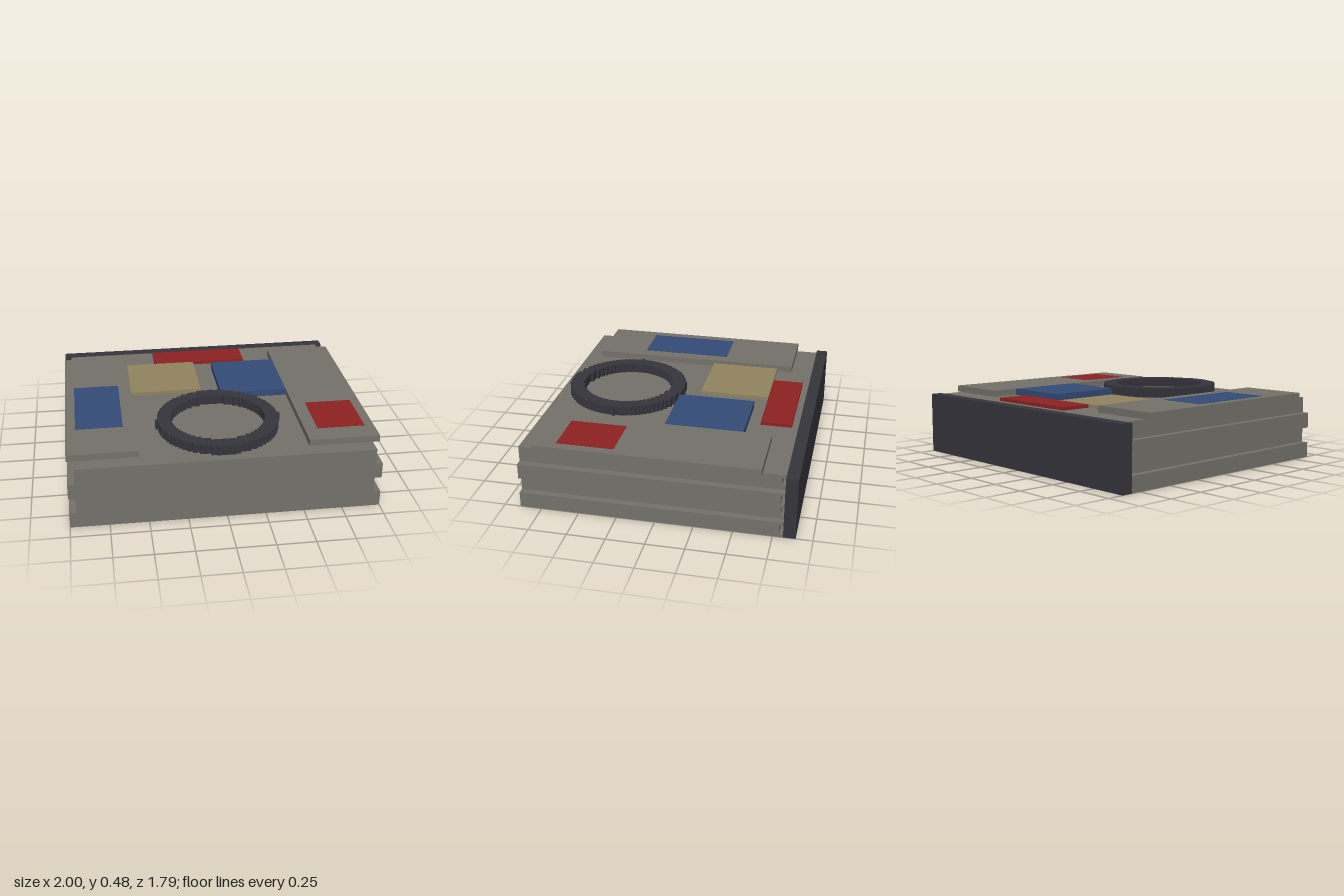
import * as THREE from 'three';

export function createModel() {
  const model = new THREE.Group();
  const mat = (name, color) => {
    const m = new THREE.MeshStandardMaterial({ color });
    m.name = name;
    return m;
  };
  const grey = mat('stone grey', 0x75726b);
  const dark = mat('charcoal', 0x36353d);
  const blue = mat('blue', 0x344c77);
  const red = mat('red', 0x8e2222);
  const tan = mat('tan', 0x928460);

  // Box given by its extents on each axis
  const box = (name, material, [x0, x1], [y0, y1], [z0, z1]) => {
    const mesh = new THREE.Mesh(new THREE.BoxGeometry(x1 - x0, y1 - y0, z1 - z0), material);
    mesh.position.set((x0 + x1) / 2, (y0 + y1) / 2, (z0 + z1) / 2);
    mesh.name = name;
    model.add(mesh);
  };

  // Four stacked layers, every second one narrower so the sides are grooved
  const top = 0.416, layer = top / 4, back = -0.79, plate = -0.815;
  for (let i = 0; i < 4; i++) {
    const w = i % 2 ? 0.955 : 1, y = i * layer;
    box('bodyLayer', grey, [-w, w], [y, y + layer], [back, 0.893]);
    // Thin ribs joining the body to the back plate
    box('lowerRib', grey, [-w, w], [y, y + 0.02], [plate, back]);
    box('upperRib', grey, [-w, w], [y + layer - 0.02, y + layer], [plate, back]);
  }
  box('backPlate', dark, [-1, 1], [0, top], [-0.893, plate]);

  // Raised side panels and their painted patches
  const panelTop = 0.46;
  box('rightPanel', grey, [-1, -0.543], [top, panelTop], [-0.668, 0.788]);
  box('leftPanel', grey, [0.54, 1], [top, panelTop], [-0.668, 0.792]);
  box('bluePatch', blue, [-0.937, -0.628], [panelTop, panelTop + 0.002], [-0.168, 0.455]);
  box('redPatch', red, [0.625, 0.939], [panelTop, panelTop + 0.002], [0.27, 0.645]);

  // Coloured tiles on the deck
  box('tanTile', tan, [-0.543, -0.048], [top, 0.438], [-0.563, -0.087]);
  box('redTile', red, [-0.335, 0.335], [top, 0.438], [-0.773, -0.566]);
  box('blueTile', blue, [0.08, 0.54], [top, panelTop], [-0.484, 0.038]);

  // Circle outline stepped into small square teeth
  const steppedCircle = (path, radius, rows) => {
    const h = (2 * radius) / rows, right = [];
    for (let i = 0; i < rows; i++) {
      const y = -radius + i * h, mid = y + h / 2;
      const x = Math.sqrt(radius * radius - mid * mid);
      right.push([x, y], [x, y + h]);
    }
    const left = right.map(([x, y]) => [-x, y]).reverse();
    path.setFromPoints([...right, ...left].map(([x, y]) => new THREE.Vector2(x, y)));
    path.closePath();
    return path;
  };

  // Stepped ring
  const ringShape = steppedCircle(new THREE.Shape(), 0.4, 35);
  ringShape.holes.push(steppedCircle(new THREE.Path(), 0.31, 27));
  const ringGeo = new THREE.ExtrudeGeometry(ringShape, { depth: 0.064, bevelEnabled: false });
  ringGeo.rotateX(-Math.PI / 2);
  const ring = new THREE.Mesh(ringGeo, dark);
  ring.name = 'ring';
  ring.position.set(0, top, 0.427);
  model.add(ring);

  // Small teeth at the four quarter points of the ring
  const ringY = [top, 0.48];
  for (const s of [-1, 1]) {
    const x = [s * 0.39, s * 0.414].sort((a, b) => a - b);
    const z = [0.427 + s * 0.385, 0.427 + s * 0.407].sort((a, b) => a - b);
    box('sideTooth', dark, x, ringY, [0.416, 0.437]);
    box('endTooth', dark, s < 0 ? [-0.02, 0.02] : [-0.06, 0.06], ringY, z);
  }
  return model;
}
